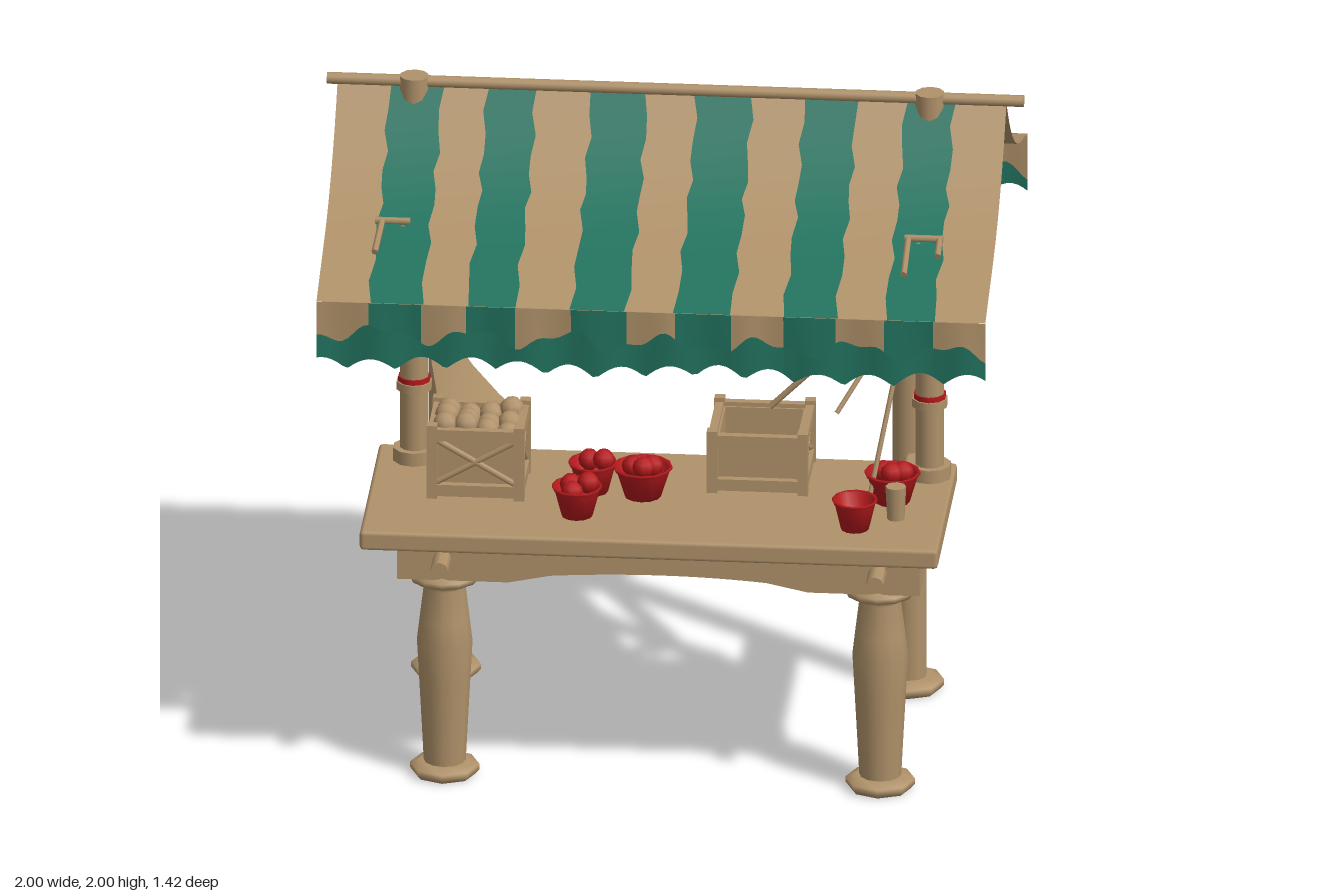
import * as THREE from 'three';
import { RoundedBoxGeometry } from 'three/addons/geometries/RoundedBoxGeometry.js';

export function createModel() {
  const root = new THREE.Group();
  const mat = (name, color, side = THREE.DoubleSide) => {
    const m = new THREE.MeshStandardMaterial({ color, side });
    m.name = name;
    return m;
  };
  const tan = mat('tan wood and cloth', 0xb0926a);
  const green = mat('green cloth', 0x22735f);
  const red = mat('red paint', 0xb5191c);
  const dark = mat('dark tear', 0x2a3022);

  const add = (name, geo, m, x = 0, y = 0, z = 0, parent = root) => {
    const mesh = new THREE.Mesh(geo, m);
    mesh.name = name;
    mesh.position.set(x, y, z);
    parent.add(mesh);
    return mesh;
  };
  const V = (p) => new THREE.Vector3(...p);
  const rod = (name, a, b, r, m = tan, parent = root, sides = 10) => {
    const p = V(a), d = V(b).sub(p);
    const mesh = add(name, new THREE.CylinderGeometry(r, r, d.length(), sides), m, 0, 0, 0, parent);
    mesh.position.copy(p).addScaledVector(d, 0.5);
    mesh.quaternion.setFromUnitVectors(new THREE.Vector3(0, 1, 0), d.normalize());
    return mesh;
  };
  const lathe = (pts, sides = 12) => new THREE.LatheGeometry(pts.map((p) => new THREE.Vector2(...p)), sides);
  // surface through rows of points
  const grid = (rows) => {
    const n = rows[0].length, idx = [];
    for (let i = 0; i < rows.length - 1; i++) for (let j = 0; j < n - 1; j++) {
      const a = i * n + j;
      idx.push(a, a + n, a + 1, a + 1, a + n, a + n + 1);
    }
    const g = new THREE.BufferGeometry();
    g.setAttribute('position', new THREE.Float32BufferAttribute(rows.flat(2), 3));
    g.setIndex(idx);
    g.computeVertexNormals();
    return g;
  };

  // front legs, back posts and their feet
  const foot = lathe([[0, 0], [0.09, 0], [0.1, 0.012], [0.1, 0.028], [0.07, 0.04], [0, 0.04]], 8);
  const leg = lathe([[0.06, 0.03], [0.066, 0.15], [0.074, 0.3], [0.08, 0.41], [0.072, 0.48], [0.06, 0.58],
    [0.066, 0.595], [0.1, 0.605], [0.1, 0.62], [0.08, 0.64], [0, 0.64]]);
  for (const x of [-0.63, 0.62]) {
    add('frontFoot', foot, tan, x, 0, 0.375);
    add('frontLeg', leg, tan, x, 0, 0.375);
    rod('peg', [x, 0.7, 0.4], [x, 0.7, 0.56], 0.026, tan, root, 8);
  }
  for (const x of [-0.69, 0.64]) {
    add('backFoot', foot, tan, x, 0, -0.36);
    rod('backPost', [x, 0.03, -0.36], [x, 1.68, -0.36], 0.05);
    rod('backPostBand', [x, 1.2, -0.36], [x, 1.22, -0.36], 0.053, red);
    const s = Math.sign(x);
    add('sideBeam', new RoundedBoxGeometry(0.1, 0.12, 0.76, 1, 0.015), tan, s * 0.68, 0.685, 0.03);
  }

  // front beam with an arched underside, and the counter
  const arch = new THREE.Shape();
  arch.moveTo(-0.76, 0.75).lineTo(-0.76, 0.63).lineTo(-0.44, 0.63).lineTo(-0.32, 0.655)
    .quadraticCurveTo(0, 0.68, 0.3, 0.655).lineTo(0.42, 0.63).lineTo(0.74, 0.63).lineTo(0.74, 0.75);
  add('frontBeam', new THREE.ExtrudeGeometry(arch, { depth: 0.14, bevelEnabled: false }), tan, 0, 0, 0.32);
  add('counter', new RoundedBoxGeometry(1.66, 0.06, 0.66, 1, 0.012), tan, -0.03, 0.78, 0.22);

  // gable frames with braces
  for (const x of [-0.75, 0.73]) {
    rod('ridgePost', [x, 0.75, 0], [x, 2, 0], 0.042);
    for (const [y, h, r] of [[0.81, 0.04, 0.062], [1.03, 0.025, 0.052], [1.53, 0.03, 0.052]])
      rod('collar', [x, y, 0], [x, y + h, 0], r);
    rod('postBand', [x, 1.055, 0], [x, 1.07, 0], 0.047, red);
    rod('crossBeam', [x, 1.67, 0.38], [x, 1.67, -0.38], 0.022);
    for (const s of [1, -1]) rod('brace', [x, 1.17, 0], [x, 1.67, s * 0.36], 0.032);
  }
  rod('ridgePole', [-1, 1.983, 0], [1, 1.983, 0], 0.017);
  for (const s of [1, -1]) rod('purlin', [-0.82, 1.668, s * 0.37], [0.82, 1.668, s * 0.37], 0.02);

  // striped cloth: bounds along x alternate tan and green
  const strips = (name, bounds, profile, firstGreen, wobble, parent) => {
    for (let i = 0; i < bounds.length - 1; i++) {
      const edge = (k, r) => bounds[k] + (k % (bounds.length - 1) ? wobble * Math.sin(7 * k + 2.3 * r) : 0);
      const rows = profile.map(([z, y], r) => [[edge(i, r), y, z], [edge(i + 1, r), y, z]]);
      add(name, grid(rows), (i % 2 === 0) === firstGreen ? green : tan, 0, 0, 0, parent);
    }
  };
  // hanging edge: stripe colour above, green hem below, ragged bottom
  const valance = (bounds, z, top, hem, bottom, firstGreen, parent) => {
    for (let i = 0; i < bounds.length - 1; i++) {
      const up = [[], []], low = [[], []];
      for (let k = 0; k <= 10; k++) {
        const x = bounds[i] + (bounds[i + 1] - bounds[i]) * k / 10;
        const h = hem + 0.022 * Math.sin(x * 23 + 1) + 0.012 * Math.sin(x * 51);
        const b = bottom + 0.035 * Math.abs(Math.sin(x * 22 + 0.6)) + 0.008 * Math.sin(x * 9);
        const zz = z + Math.sign(z) * 0.006 * Math.sin(x * 30);
        up[0].push([x, top, z]); up[1].push([x, h, zz]);
        low[0].push([x, h, zz]); low[1].push([x, b, zz]);
      }
      add('valance', grid(up), (i % 2 === 0) === firstGreen ? green : tan, 0, 0, 0, parent);
      add('valanceHem', grid(low), green, 0, 0, 0, parent);
    }
  };

  // main roof cloth, front and back
  const slope = [[0, 1.975], [0.05, 1.918], [0.1, 1.868], [0.15, 1.825], [0.2, 1.788], [0.25, 1.755],
    [0.3, 1.726], [0.37, 1.693], [0.44, 1.668], [0.52, 1.642], [0.61, 1.615], [0.7, 1.585]];
  const roofY = (z) => {
    const a = Math.abs(z), k = Math.max(1, slope.findIndex((p) => p[0] >= a));
    const [p, q] = [slope[k - 1], slope[k]];
    return p[1] + (q[1] - p[1]) * (a - p[0]) / (q[0] - p[0]);
  };
  const bounds = [-0.97, -0.82, -0.67, -0.54, -0.4, -0.24, -0.08, 0.06, 0.22, 0.37, 0.52, 0.66, 0.8, 0.95];
  for (const s of [1, -1]) {
    const side = new THREE.Group();
    side.name = s > 0 ? 'frontRoof' : 'backRoof';
    root.add(side);
    strips('roofStripe', bounds, slope.map(([z, y]) => [s * z, y]), false, 0.008, side);
    valance(bounds, s * 0.703, 1.585, s > 0 ? 1.49 : 1.47, 1.385, false, side);
    rod('eaveRod', [-0.95, 1.575, s * 0.685], [0.93, 1.575, s * 0.685], 0.009, tan, side, 6);
    // tie sticks poking through the cloth
    const stick = (x1, z1, x2, z2) => rod('tieStick', [x1, roofY(z1) + 0.01, s * z1],
      [x2, roofY(z2) + 0.01, s * z2], 0.01, tan, side, 6);
    stick(-0.83, 0.37, -0.73, 0.37);
    stick(-0.81, 0.37, -0.82, 0.5);
    stick(0.69, 0.37, 0.8, 0.37);
    stick(0.7, 0.37, 0.7, 0.52);
    stick(0.79, 0.37, 0.79, 0.44);
  }

  // ragged tear on the back slope: x, near z, far z
  const tear = [[-0.46, 0.185, 0.195], [-0.4, 0.17, 0.2], [-0.32, 0.165, 0.2], [-0.29, 0.06, 0.205], [-0.2, 0.055, 0.21],
    [-0.08, 0.06, 0.2], [0, 0.065, 0.175], [0.06, 0.065, 0.145], [0.14, 0.065, 0.12], [0.3, 0.062, 0.125],
    [0.45, 0.055, 0.125], [0.53, 0.07, 0.11], [0.56, 0.09, 0.1]];
  add('roofTear', grid(tear.map(([x, a, b]) => [0, 1, 2, 3, 4].map((k) => {
    const z = a + (b - a) * k / 4;
    return [x, roofY(z) + 0.009, -z];
  }))), dark);

  // lower awning behind the counter
  const awning = new THREE.Group();
  awning.name = 'backAwning';
  root.add(awning);
  const small = [-0.57, -0.37, -0.23, -0.07, 0.06, 0.22, 0.37, 0.51, 0.57];
  strips('awningStripe', small, [[-0.25, 1.6], [-0.3, 1.47], [-0.36, 1.33], [-0.44, 1.19]], true, 0.012, awning);
  valance(small, -0.445, 1.19, 1.12, 1.05, true, awning);
  for (const x of [-0.52, -0.02, 0.5])
    rod('awningStrut', [x, 1.58, -0.235], [x, 1.15, -0.43], 0.026, tan, awning, 6);
  rod('awningRail', [-0.69, 1.6, -0.27], [0.64, 1.6, -0.27], 0.018, tan, awning);

  // cloth draped from the left-hand gable post
  const drape = [];
  for (let i = 0; i <= 6; i++) {
    const t = i / 6, row = [];
    for (let j = 0; j <= 6; j++) {
      const u = j / 6;
      row.push([-0.72 + t * t * (0.1 + 0.18 * u), 1.45 - 0.63 * t, 0.01 + t * (0.1 - 0.38 * u)]);
    }
    drape.push(row);
  }
  add('drape', grid(drape), tan);
  // thin poles leaning on the other post
  rod('leaningPole', [0.27, 1, -0.02], [0.69, 1.42, 0], 0.009, tan, root, 6);
  rod('leaningPole', [0.48, 1.08, 0.2], [0.69, 1.4, 0.03], 0.008, tan, root, 6);
  rod('leaningPole', [0.58, 0.85, 0.24], [0.68, 1.38, 0.04], 0.008, tan, root, 6);

  // slatted crates
  const crate = (x, z, w, h, d, crossed) => {
    const g = new THREE.Group();
    g.name = 'crate';
    g.position.set(x, 0.81, z);
    root.add(g);
    const box = (name, a, b, c, px, py, pz) => add(name, new THREE.BoxGeometry(a, b, c), tan, px, py, pz, g);
    const hw = w / 2 - 0.015, hd = d / 2 - 0.015, t = 0.03;
    box('crateFloor', w - t, 0.015, d - t, 0, 0.02, 0);
    for (const s of [1, -1]) {
      for (const q of [1, -1]) box('cratePost', t, h, t, s * hw, h / 2, q * hd);
      for (const y of [0.025, h - 0.03]) {
        box('crateRail', w - t, 0.035, 0.024, 0, y, s * hd);
        box('crateRail', 0.024, 0.035, d - t, s * hw, y, 0);
      }
      box('cratePanel', w - t, h - 0.05, 0.008, 0, h / 2, s * (hd - 0.014));
      box('cratePanel', 0.008, h - 0.05, d - t, s * (hw - 0.014), h / 2, 0);
      for (const q of [1, -1]) {
        if (crossed) rod('crateBrace', [-q * hw, 0.04, s * hd], [q * hw, h - 0.04, s * hd], 0.009, tan, g, 6);
        rod('crateBrace', [s * hw, 0.04, -q * hd], [s * hw, h - 0.04, q * hd], 0.009, tan, g, 6);
      }
    }
    return g;
  };
  const full = crate(-0.55, 0.17, 0.28, 0.225, 0.24, true);
  crate(0.25, 0.04, 0.29, 0.19, 0.28, false);
  for (let i = 0; i < 12; i++)
    add('produce', new THREE.SphereGeometry(0.036, 8, 6), tan, -0.09 + (i % 4) * 0.06,
      0.2 + 0.015 * Math.sin(i * 5), -0.065 + Math.floor(i / 4) * 0.065, full);

  // red baskets with round fruit
  for (const [x, z, r, n] of [[-0.25, 0.38, 0.072, 3], [-0.075, 0.22, 0.085, 3], [-0.22, 0.2, 0.07, 2],
    [0.55, 0.41, 0.065, 0], [0.64, 0.2, 0.08, 3]]) {
    const g = new THREE.Group();
    g.name = 'basket';
    g.position.set(x, 0.81, z);
    root.add(g);
    add('bowl', lathe([[0, 0.003], [r * 0.62, 0.003], [r * 0.9, 0.08], [r, 0.088], [r, 0.096], [r * 0.85, 0.092],
      [r * 0.6, 0.045], [0, 0.04]]), red, 0, 0, 0, g);
    for (let i = 0; i < n; i++)
      add('fruit', new THREE.SphereGeometry(0.032, 8, 6), red, 0.032 * Math.cos(i * 2.1 + x * 9),
        0.088 + (i === 1 ? 0.015 : 0), 0.032 * Math.sin(i * 2.1 + x * 9), g);
  }
  // small cup on the counter
  add('cup', new THREE.CylinderGeometry(0.03, 0.025, 0.1, 8), tan, 0.66, 0.86, 0.32);
  return root;
}
